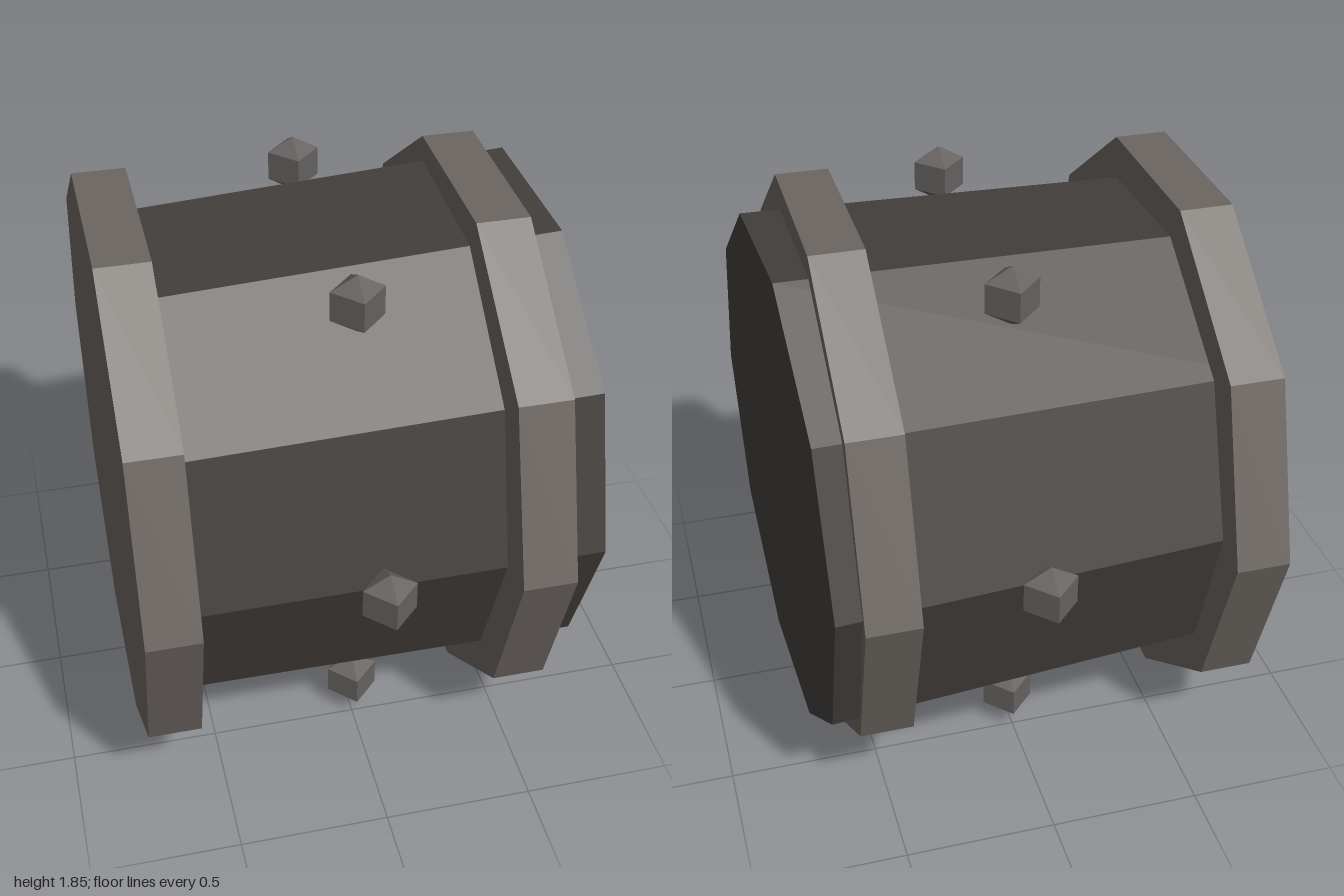
import * as THREE from 'three';

const SIDES = 10;
const CENTRE_Y = 0.9225;

const material = (color) => new THREE.MeshStandardMaterial({ color, flatShading: true });

// Ten-sided prism lying along x, with a corner pointing to the front
function prism(leftRadius, rightRadius, length) {
  return new THREE.CylinderGeometry(rightRadius, leftRadius, length, SIDES).rotateZ(-Math.PI / 2);
}

export function createModel() {
  const model = new THREE.Group();
  model.name = 'hammerHead';

  const add = (name, geometry, mat, x, y, z) => {
    const mesh = new THREE.Mesh(geometry, mat);
    mesh.name = name;
    mesh.position.set(x, y, z);
    model.add(mesh);
    return mesh;
  };

  // Slightly flared drum, rolled and turned a little off the ring axis
  const drumGeometry = prism(0.83, 0.88, 1.415).rotateX(0.04).rotateY(0.04);
  add('drum', drumGeometry, material(0x423e3b), 0.008, CENTRE_Y, -0.033);

  // Two broad bands
  const bandMaterial = material(0x6b6560);
  const bandGeometry = prism(0.97, 0.97, 0.176);
  add('rightBand', bandGeometry, bandMaterial, -0.668, CENTRE_Y, 0);
  add('leftBand', bandGeometry, bandMaterial, 0.508, CENTRE_Y, 0);

  // Six studs around the middle
  const studMaterial = material(0x666361);
  const studGeometry = new THREE.SphereGeometry(0.1, 4, 3);
  for (let i = 0; i < 6; i++) {
    const a = (i * Math.PI) / 3;
    add(`stud${i + 1}`, studGeometry, studMaterial,
      0.008, CENTRE_Y + 0.912 * Math.sin(a), 0.912 * Math.cos(a));
  }

  return model;
}
